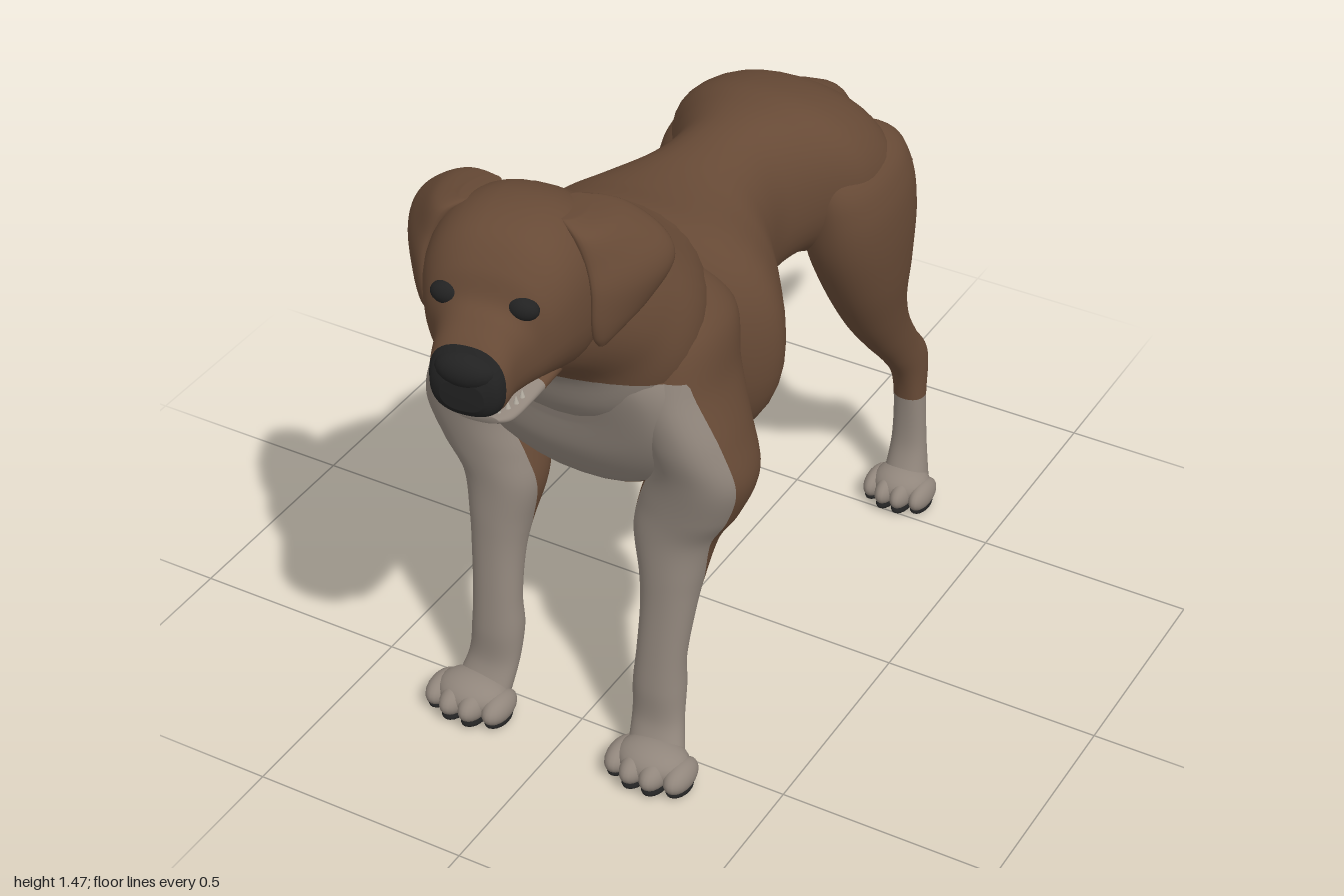
import * as THREE from 'three';

const mat = (name, color) => {
  const m = new THREE.MeshStandardMaterial({ color });
  m.name = name;
  return m;
};

// Catmull-Rom blend of two neighbouring sections, number by number
const blend = (p0, p1, p2, p3, t) => p1.map((b, i) => {
  const a = p0[i], c = p2[i], d = p3[i];
  return b + 0.5 * t * (c - a + t * (2 * a - 5 * b + 4 * c - d + t * (3 * (b - c) + d - a)));
});

// Skin over cross-sections [z, y of one edge, z, y of the opposite edge, half width, centre x, skew in x]
function loft(sections, side = 1, power = 2.2, around = 40, steps = 7) {
  const S = sections.map(s => [...s, 0, 0].slice(0, 7));
  const rings = [];
  for (let i = 0; i < S.length - 1; i++) {
    for (let k = 0; k < steps; k++) {
      rings.push(blend(S[Math.max(i - 1, 0)], S[i], S[i + 1], S[Math.min(i + 2, S.length - 1)], k / steps));
    }
  }
  rings.push(S[S.length - 1]);
  const pos = [], index = [];
  const bulge = v => Math.sign(v) * Math.abs(v) ** (2 / power);
  const addRing = ([az, ay, bz, by, w, xc, skew], r) => {
    for (let j = 0; j < around; j++) {
      const a = j / around * Math.PI * 2;
      const c = bulge(Math.cos(a)) * r, s = bulge(Math.sin(a)) * r;
      pos.push(side * (xc + s * w - c * skew), (ay + by) / 2 + c * (ay - by) / 2, (az + bz) / 2 + c * (az - bz) / 2);
    }
  };
  addRing(rings[0], 0.001);
  rings.forEach(r => addRing(r, 1));
  addRing(rings[rings.length - 1], 0.001);
  for (let i = 0; i < rings.length + 1; i++) {
    for (let j = 0; j < around; j++) {
      const a = i * around + j, b = i * around + (j + 1) % around;
      index.push(a, b, a + around, b, b + around, a + around);
    }
  }
  // Turn the faces outward
  const P = i => new THREE.Vector3().fromArray(pos, i * 3);
  let volume = 0;
  for (let i = 0; i < index.length; i += 3) {
    const [a, b, c] = [0, 1, 2].map(k => P(index[i + k]));
    volume += a.dot(b.cross(c));
  }
  if (volume < 0) index.reverse();
  const g = new THREE.BufferGeometry();
  g.setAttribute('position', new THREE.Float32BufferAttribute(pos, 3));
  g.setIndex(index);
  g.computeVertexNormals();
  return g;
}

// Keep the part of a surface where f > 0, cutting triangles on the border
function cut(geometry, f) {
  const g = geometry.toNonIndexed(), p = g.attributes.position, n = g.attributes.normal;
  const pos = [], nor = [];
  for (let i = 0; i < p.count; i += 3) {
    const tri = [0, 1, 2].map(k => {
      const v = new THREE.Vector3().fromBufferAttribute(p, i + k);
      return { v, n: new THREE.Vector3().fromBufferAttribute(n, i + k), d: f(v) };
    });
    const poly = [];
    tri.forEach((a, k) => {
      const b = tri[(k + 1) % 3];
      if (a.d > 0) poly.push(a);
      if (a.d > 0 !== b.d > 0) {
        const t = a.d / (a.d - b.d);
        poly.push({ v: a.v.clone().lerp(b.v, t), n: a.n.clone().lerp(b.n, t) });
      }
    });
    for (let k = 1; k < poly.length - 1; k++) {
      for (const q of [poly[0], poly[k], poly[k + 1]]) {
        pos.push(...q.v.toArray());
        nor.push(...q.n.toArray());
      }
    }
  }
  const out = new THREE.BufferGeometry();
  out.setAttribute('position', new THREE.Float32BufferAttribute(pos, 3));
  out.setAttribute('normal', new THREE.Float32BufferAttribute(nor, 3));
  return out;
}

export function createModel() {
  const brown = mat('brown coat', 0x674a36), grey = mat('pale coat', 0x91867c), black = mat('black skin', 0x222222);
  const tongueMat = mat('tongue', 0x7c5142), toothMat = mat('teeth', 0xb5aea2);
  const model = new THREE.Group();
  model.name = 'dog';

  const add = (parent, name, geometry, material) => {
    const m = new THREE.Mesh(geometry, material);
    m.name = name;
    parent.add(m);
    return m;
  };
  const twoTone = (parent, name, geometry, material, f) => {
    add(parent, name, cut(geometry, v => -f(v)), brown);
    add(parent, name + 'Marking', cut(geometry, f), material);
  };
  const blob = (parent, name, material, [x, y, z], [sx, sy, sz]) => {
    const m = add(parent, name, new THREE.SphereGeometry(1, 20, 14), material);
    m.position.set(x, y, z);
    m.scale.set(sx, sy, sz);
    return m;
  };

  // Pale bib that runs down the front of the legs, and pale hind socks
  const bib = v => Math.max(0.37 - v.y + (v.z - 0.48), Math.min(1.03 - 0.25 * v.x * v.x - v.y, v.z - 0.44 - 0.13 * (v.y - 0.38)));
  const sock = v => 0.28 - v.y;

  // Torso, the rear standing slightly to the left
  twoTone(model, 'torso', loft([
    [-0.555, 1.0, -0.555, 0.9, 0.05, 0.015], [-0.545, 1.04, -0.545, 0.86, 0.12, 0.015], [-0.5, 1.1, -0.5, 0.8, 0.2, 0.015],
    [-0.42, 1.165, -0.42, 0.77, 0.25, 0.018], [-0.3, 1.205, -0.3, 0.8, 0.245, 0.02], [-0.2, 1.215, -0.2, 0.83, 0.19, 0.02],
    [-0.1, 1.213, -0.1, 0.8, 0.15, 0.018], [0, 1.205, 0, 0.72, 0.18, 0.015], [0.1, 1.2, 0.1, 0.65, 0.26, 0.01],
    [0.2, 1.21, 0.2, 0.615, 0.315, 0.008], [0.3, 1.235, 0.3, 0.61, 0.287], [0.4, 1.25, 0.39, 0.62, 0.275],
    [0.5, 1.2, 0.47, 0.655, 0.28], [0.565, 1.13, 0.515, 0.71, 0.265], [0.6, 1.07, 0.55, 0.78, 0.215], [0.612, 1.03, 0.568, 0.86, 0.12],
  ]), grey, bib);

  // Neck
  twoTone(model, 'neck', loft([
    [0.2, 1.2, 0.45, 0.75, 0.2], [0.33, 1.25, 0.59, 0.9, 0.272], [0.46, 1.335, 0.645, 1.02, 0.245],
    [0.58, 1.425, 0.74, 1.09, 0.185], [0.68, 1.44, 0.8, 1.12, 0.14],
  ]), grey, bib);

  // Tail
  add(model, 'tail', loft([
    [-0.4, 1.17, -0.47, 1.02, 0.07, 0.02], [-0.5, 1.12, -0.52, 1.0, 0.062, 0.025], [-0.59, 1.055, -0.535, 0.96, 0.054, 0.03],
    [-0.655, 0.92, -0.59, 0.86, 0.05, 0.03], [-0.735, 0.79, -0.675, 0.73, 0.045, 0.03],
    [-0.835, 0.71, -0.81, 0.645, 0.038, 0.03], [-0.93, 0.672, -0.92, 0.632, 0.027, 0.03], [-0.998, 0.65, -0.998, 0.64, 0.006, 0.03],
  ], 1, 2, 24), brown);

  // Fold under the belly
  blob(model, 'bellyFold', brown, [0.01, 0.79, -0.095], [0.025, 0.03, 0.062]).rotation.x = -0.6;

  // Paw with four toes and dark pads
  const paw = (name, x, toeZ, width) => {
    const g = new THREE.Group();
    g.name = name;
    g.position.set(x, 0, toeZ);
    model.add(g);
    blob(g, 'instep', grey, [0, 0.05, -0.085], [0.08 * width, 0.043, 0.064]);
    blob(g, 'heelPad', black, [0, 0.014, -0.092], [0.066 * width, 0.014, 0.05]);
    for (let i = 0; i < 4; i++) {
      const inner = i === 1 || i === 2;
      const tx = (i - 1.5) * 0.046 * width, tz = inner ? -0.056 : -0.076;
      blob(g, 'toe', grey, [tx, inner ? 0.043 : 0.038, tz], [0.029 * width, 0.033, 0.056]);
      blob(g, 'toePad', black, [tx, 0.012, tz + 0.004], [0.025 * width, 0.012, 0.042]);
    }
  };

  for (const [side, label] of [[1, 'left'], [-1, 'right']]) {
    // Shoulder and front leg
    twoTone(model, label + 'FrontLeg', loft([
      [0.45, 1.19, 0.34, 1.18, 0.035, 0.165], [0.53, 1.09, 0.27, 1.08, 0.085, 0.205], [0.565, 0.97, 0.27, 0.95, 0.1, 0.215, -0.005],
      [0.565, 0.86, 0.28, 0.83, 0.112, 0.242, -0.015],
      [0.545, 0.76, 0.3, 0.73, 0.116, 0.264, -0.015], [0.53, 0.66, 0.335, 0.64, 0.112, 0.237, -0.01], [0.525, 0.58, 0.365, 0.56, 0.092, 0.21],
      [0.53, 0.48, 0.405, 0.46, 0.07, 0.21], [0.535, 0.4, 0.435, 0.38, 0.06, 0.21], [0.547, 0.28, 0.46, 0.28, 0.056, 0.205],
      [0.555, 0.2, 0.462, 0.2, 0.06, 0.203], [0.56, 0.12, 0.485, 0.12, 0.06, 0.207], [0.59, 0.06, 0.51, 0.05, 0.065, 0.218],
    ], side), grey, bib);
    paw(label + 'FrontPaw', side * 0.228, 0.668, 1.05);

    // Thigh and hind leg, the upper sections following the rear of the torso
    twoTone(model, label + 'HindLeg', loft([
      [-0.25, 1.14, -0.39, 1.1, 0.03, 0.1], [-0.21, 1.04, -0.5, 1.06, 0.075, 0.165], [-0.205, 0.95, -0.535, 1.0, 0.098, 0.182],
      [-0.225, 0.84, -0.55, 0.9, 0.105, 0.187],
      [-0.285, 0.71, -0.535, 0.77, 0.09, 0.2], [-0.36, 0.59, -0.525, 0.66, 0.07, 0.21], [-0.43, 0.5, -0.55, 0.56, 0.053, 0.22],
      [-0.5, 0.42, -0.6, 0.47, 0.041, 0.23], [-0.55, 0.35, -0.652, 0.39, 0.04, 0.235], [-0.57, 0.27, -0.637, 0.27, 0.038, 0.24],
      [-0.57, 0.15, -0.636, 0.15, 0.042, 0.243], [-0.54, 0.07, -0.635, 0.05, 0.052, 0.247],
    ].map(s => s.with(5, s[5] + side * 0.018 * THREE.MathUtils.smoothstep(s[1], 0.4, 0.9))), side), grey, sock);
    paw(label + 'HindPaw', side * 0.248, -0.476, 0.86);
  }

  // Head, turned a little to its left
  const head = new THREE.Group(), turn = 0.15, pivot = 0.65;
  head.name = 'head';
  head.rotation.y = turn;
  head.position.set(-pivot * Math.sin(turn), 0, pivot * (1 - Math.cos(turn)));
  model.add(head);
  twoTone(head, 'skull', loft([
    [0.54, 1.37, 0.6, 1.2, 0.08], [0.585, 1.43, 0.62, 1.13, 0.15], [0.66, 1.464, 0.68, 1.1, 0.172],
    [0.74, 1.47, 0.74, 1.1, 0.175], [0.81, 1.45, 0.8, 1.12, 0.16], [0.86, 1.4, 0.84, 1.13, 0.136],
    [0.888, 1.345, 0.87, 1.13, 0.108], [0.92, 1.322, 0.91, 1.13, 0.09], [0.955, 1.292, 0.95, 1.125, 0.082],
    [0.982, 1.255, 0.975, 1.135, 0.07], [0.993, 1.22, 0.99, 1.155, 0.045],
  ], 1, 2.4), black, v => v.z - 0.96);
  blob(head, 'nose', black, [0, 1.238, 0.966], [0.064, 0.038, 0.036]);

  // Lower jaw, tongue and teeth
  twoTone(head, 'lowerJaw', loft([
    [0.74, 1.15, 0.72, 1.08, 0.1], [0.83, 1.112, 0.82, 1.073, 0.077], [0.89, 1.104, 0.89, 1.07, 0.062], [0.925, 1.106, 0.92, 1.083, 0.042],
  ]), grey, v => v.z - 0.79);
  blob(head, 'tongue', tongueMat, [0, 1.112, 0.872], [0.044, 0.018, 0.06]);
  for (let i = 0; i < 11; i++) {
    const a = (i / 10 - 0.5) * Math.PI;
    const tooth = add(head, 'tooth', new THREE.ConeGeometry(0.006, i === 3 || i === 7 ? 0.032 : 0.018, 8), toothMat);
    tooth.position.set(Math.sin(a) * 0.058, 1.112, 0.84 + Math.cos(a) * 0.075);
  }

  for (const [side, label] of [[1, 'left'], [-1, 'right']]) {
    blob(head, label + 'Eye', black, [side * 0.079, 1.333, 0.869], [0.034, 0.025, 0.022]);
    // Hanging ear flap, its rear edge flared outward
    add(head, label + 'Ear', loft([
      [0.72, 1.45, 0.6, 1.435, 0.03, 0.095, -0.005], [0.745, 1.428, 0.57, 1.42, 0.04, 0.15, 0.01], [0.755, 1.37, 0.562, 1.37, 0.035, 0.203, 0.036],
      [0.765, 1.32, 0.575, 1.315, 0.03, 0.223, 0.044], [0.768, 1.26, 0.625, 1.25, 0.025, 0.208, 0.028],
      [0.76, 1.215, 0.68, 1.21, 0.019, 0.19, 0.01], [0.745, 1.19, 0.71, 1.19, 0.01, 0.182],
    ], side, 2, 32), brown);
  }
  return model;
}
